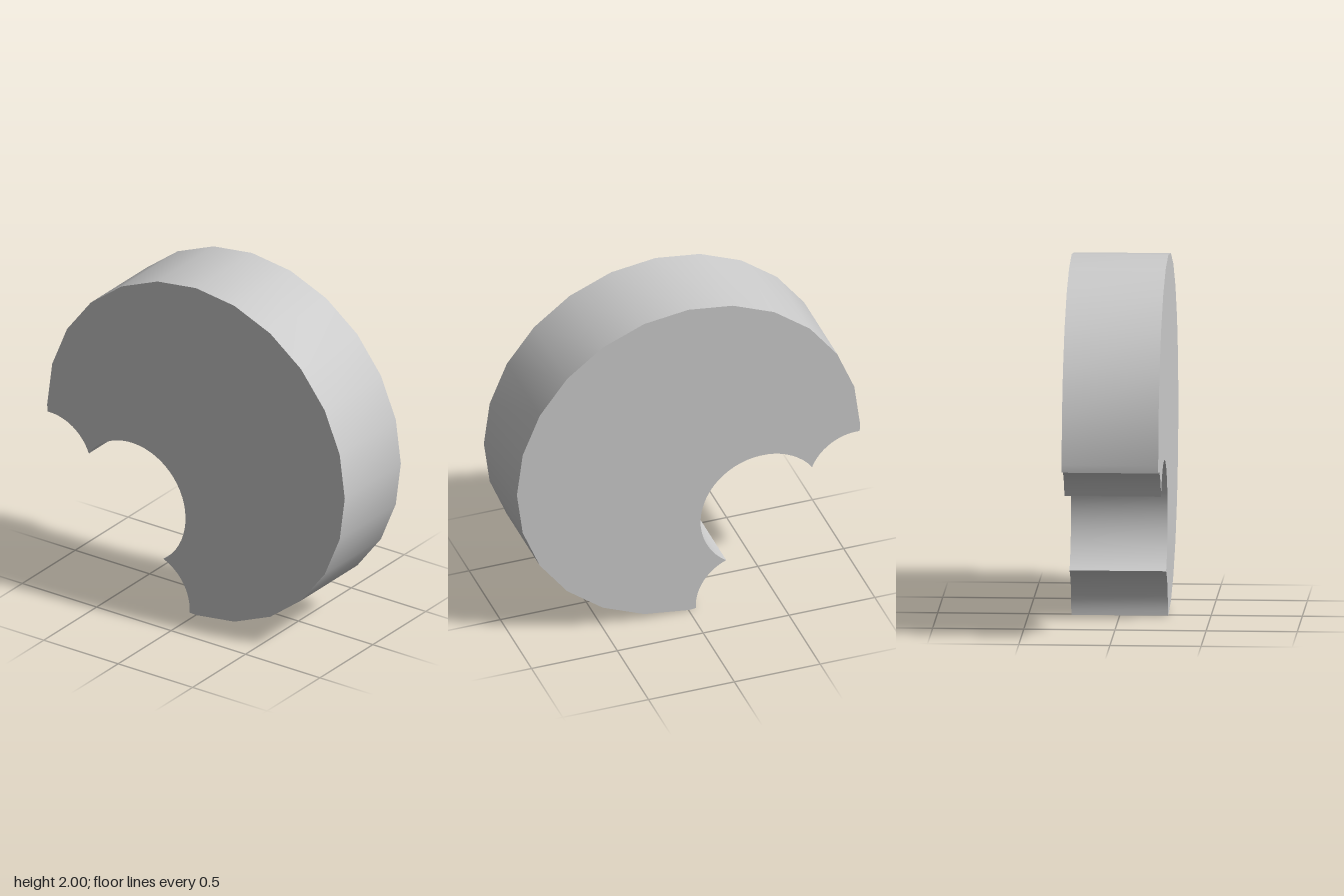
import * as THREE from 'three';
import { toCreasedNormals } from 'three/addons/utils/BufferGeometryUtils.js';

const DEPTH = 0.53;
const rad = THREE.MathUtils.degToRad;

// Points along an arc, angles in degrees, both ends included
function arc(cx, cy, r, from, to, steps) {
  return Array.from({ length: steps + 1 }, (_, i) => {
    const a = rad(from + (to - from) * i / steps);
    return new THREE.Vector2(cx + r * Math.cos(a), cy + r * Math.sin(a));
  });
}

export function createModel() {
  const group = new THREE.Group();
  group.name = 'bittenDisc';

  // Outline: 24-sided rim over three quarters, then three scalloped bites
  const outline = [
    ...arc(0, 1, 1, -90, 180, 18),
    ...arc(-0.98, 0.678, 0.28, 93.5, 21.5, 12),
    ...arc(-0.43, 0.57, 0.36, 144, -54, 32).slice(1, -1),
    ...arc(-0.322, 0.02, 0.28, 68.5, -3.5, 12),
  ];

  const geometry = new THREE.ExtrudeGeometry(new THREE.Shape(outline), {
    depth: DEPTH, bevelEnabled: false, steps: 1,
  });
  geometry.translate(0, 0, -DEPTH / 2);

  // Smooth around the rim and bites, sharp at the faces and cusps
  const disc = new THREE.Mesh(
    toCreasedNormals(geometry, rad(35)),
    new THREE.MeshStandardMaterial({ color: 0xcccccc }),
  );
  disc.name = 'disc';
  group.add(disc);
  return group;
}
